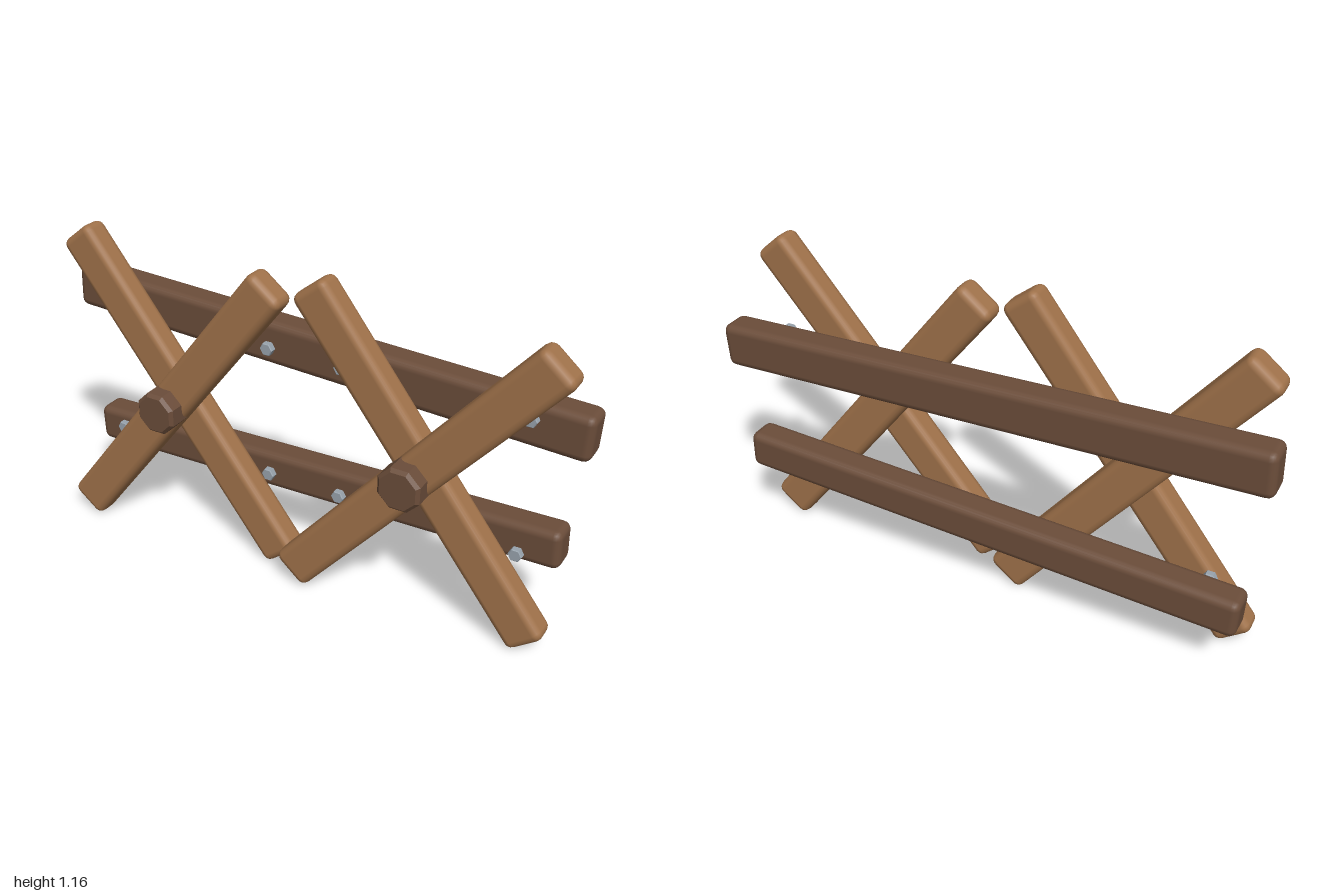
import * as THREE from 'three';
import { RoundedBoxGeometry } from 'three/addons/geometries/RoundedBoxGeometry.js';
import { toCreasedNormals } from 'three/addons/utils/BufferGeometryUtils.js';

const paint = (name, color) => {
  const m = new THREE.MeshStandardMaterial({ color });
  m.name = name;
  return m;
};

export function createModel() {
  const model = new THREE.Group();
  model.name = 'crossedFence';
  const lightWood = paint('lightWood', 0xa0724a);
  const darkWood = paint('darkWood', 0x6b4d3a);
  const steel = paint('steel', 0x98a3ad);

  const add = (name, geometry, material, x, y, z, turn = 0) => {
    const mesh = new THREE.Mesh(geometry, material);
    mesh.name = name;
    mesh.position.set(x, y, z);
    mesh.rotation.z = turn;
    model.add(mesh);
  };

  // Beam with softened edges, lying along x
  const beam = (length, height, depth) =>
    new RoundedBoxGeometry(length, height, depth, 2, 0.028);

  // Faceted stud with a bevelled rim, its axis along z
  const stud = (sides, radius, depth, bevel) => {
    const h = depth / 2;
    const profile = [
      [0, -h], [radius - bevel, -h], [radius, -h + bevel],
      [radius, h - bevel], [radius - bevel, h], [0, h],
    ].map(([x, y]) => new THREE.Vector2(x, y));
    const g = new THREE.LatheGeometry(profile, sides, Math.PI / sides);
    g.rotateX(Math.PI / 2);
    return toCreasedNormals(g, 0.3);
  };

  // Two crossed pairs of posts, each pinned by a peg
  const post = beam(1.38, 0.15, 0.1);
  const peg = stud(8, 0.081, 0.1, 0.012);
  const lean = THREE.MathUtils.degToRad(52);
  const crosses = [
    { side: 'right', x: -0.476, frontLean: lean },
    { side: 'left', x: 0.476, frontLean: THREE.MathUtils.degToRad(49.5) },
  ];
  for (const { side, x, frontLean } of crosses) {
    add(`${side}FrontPost`, post, lightWood, x + (side === 'left' ? 0.004 : 0), 0.585, 0.071, frontLean);
    add(`${side}BackPost`, post, lightWood, x, 0.585, -0.006, -lean);
    add(`${side}Peg`, peg, darkWood, x, 0.586, 0.132);
  }

  // Slightly tilted rails behind the posts
  add('upperRail', beam(1.995, 0.162, 0.114), darkWood, 0, 0.832, -0.128, -0.042);
  add('lowerRail', beam(1.895, 0.143, 0.114), darkWood, -0.003, 0.328, -0.128, 0.034);

  // Bolts between posts and rails
  const bolt = stud(6, 0.025, 0.026, 0.003);
  for (const y of [0.833, 0.329])
    for (const x of [-0.81, -0.146, 0.143, 0.807])
      add('bolt', bolt, steel, x, y, -0.046);

  return model;
}
